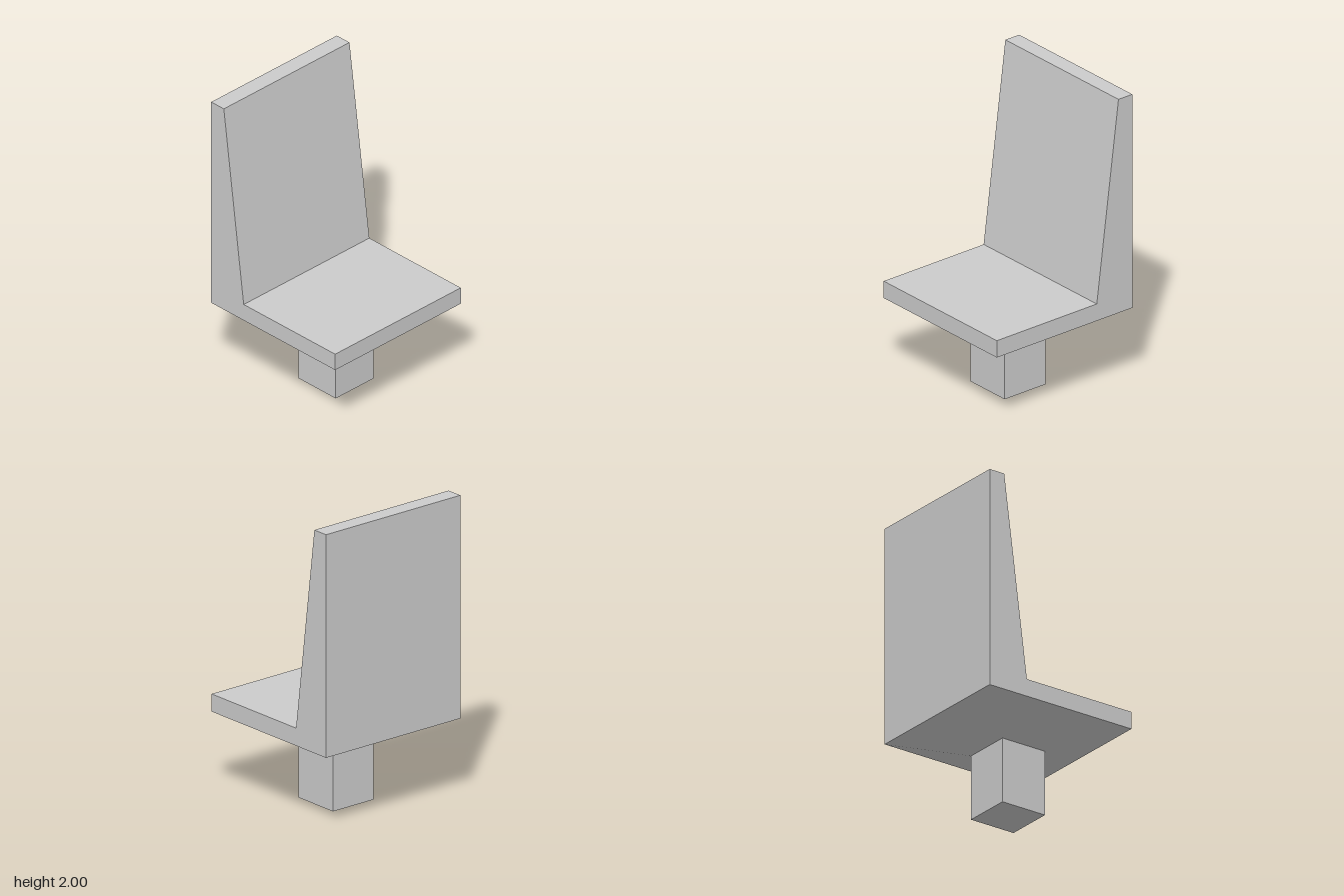
import * as THREE from 'three';

export function createModel() {
  const model = new THREE.Group();
  model.name = 'chair';

  const grey = new THREE.MeshStandardMaterial({ color: 0xcccccc });
  grey.name = 'light grey';

  const half = 0.54;      // half width of the seat
  const postHalf = 0.162; // half width of the post
  const postTop = 0.43;
  const seatBottom = 0.545;

  const add = (name, geometry) => {
    const mesh = new THREE.Mesh(geometry, grey);
    mesh.name = name;
    model.add(mesh);
    return mesh;
  };

  // Seat and sloped backrest: one side profile (z, y) swept across the width
  const profile = new THREE.Shape([
    [half, seatBottom], [half, 0.66], [-0.257, 0.66],
    [-0.43, 2], [-half, 2], [-half, seatBottom],
  ].map(([z, y]) => new THREE.Vector2(z, y)));
  const seat = new THREE.ExtrudeGeometry(profile, { depth: half * 2, bevelEnabled: false });
  seat.translate(0, 0, -half).rotateY(-Math.PI / 2);
  add('seatAndBackrest', seat);

  // Four-sided taper from the seat down to the post
  const height = seatBottom - postTop;
  let taper = new THREE.CylinderGeometry(
    half * Math.SQRT2, postHalf * Math.SQRT2, height, 4, 1, true);
  taper.rotateY(Math.PI / 4).translate(0, postTop + height / 2, 0);
  taper = taper.toNonIndexed();
  taper.computeVertexNormals();
  add('seatTaper', taper);

  // Square post
  const post = new THREE.BoxGeometry(postHalf * 2, postTop, postHalf * 2);
  post.translate(0, postTop / 2, 0);
  add('post', post);

  return model;
}
